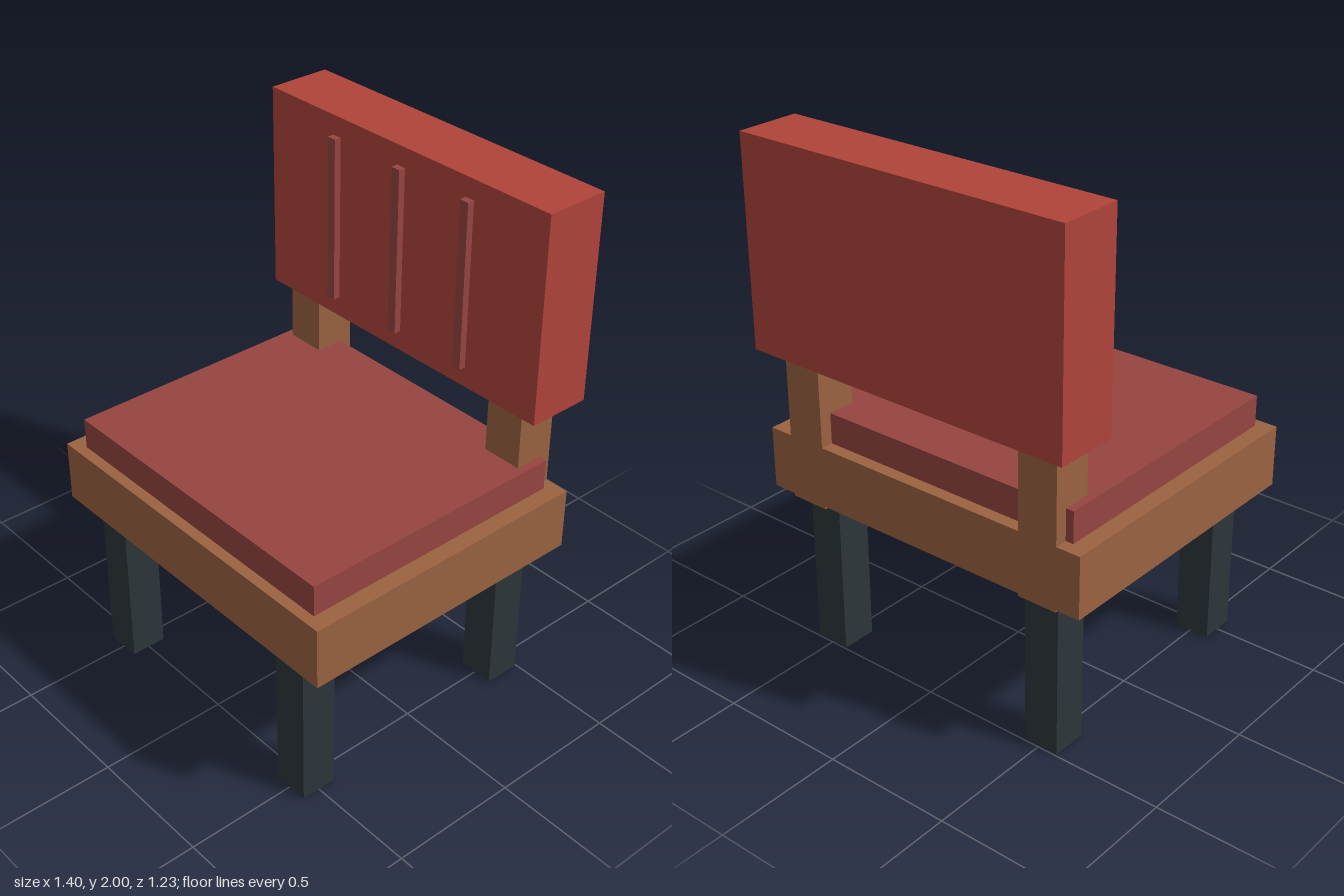
import * as THREE from 'three';

const paint = (name, color) => {
  const m = new THREE.MeshStandardMaterial({ color });
  m.name = name;
  return m;
};

export function createModel() {
  const chair = new THREE.Group();
  chair.name = 'chair';
  const red = paint('backrestRed', 0xb0443a);
  const maroon = paint('cushionMaroon', 0x964540);
  const wood = paint('wood', 0x9a6340);
  const charcoal = paint('charcoal', 0x2d353a);

  // Box given by its extents on each axis
  const block = (name, material, [x0, x1], [y0, y1], [z0, z1]) => {
    const mesh = new THREE.Mesh(new THREE.BoxGeometry(x1 - x0, y1 - y0, z1 - z0), material);
    mesh.position.set((x0 + x1) / 2, (y0 + y1) / 2, (z0 + z1) / 2);
    mesh.name = name;
    chair.add(mesh);
  };
  const around = (c, size) => [c - size / 2, c + size / 2];

  // Seat
  block('seatFrame', wood, [-0.702, 0.702], [0.63, 0.868], [-0.547, 0.617]);
  block('seatCushion', maroon, [-0.637, 0.637], [0.868, 0.988], [-0.498, 0.575]);

  // Legs and back posts, mirrored left and right
  for (const [side, s] of [['left', 1], ['right', -1]]) {
    block(side + 'FrontLeg', charcoal, around(s * 0.505, 0.14), [0, 0.63], around(0.5, 0.14));
    block(side + 'BackLeg', charcoal, around(s * 0.505, 0.14), [0, 0.63], around(-0.423, 0.14));
    block(side + 'BackPost', wood, around(s * 0.527, 0.158), [0.62, 1.3], [-0.547, -0.388]);
  }

  // Backrest with three raised ribs
  block('backrest', red, [-0.68, 0.68], [1.21, 2], [-0.617, -0.367]);
  for (const x of [-0.328, 0, 0.328]) {
    block('backrestRib', maroon, around(x, 0.038), [1.288, 1.925], [-0.38, -0.34]);
  }
  return chair;
}
